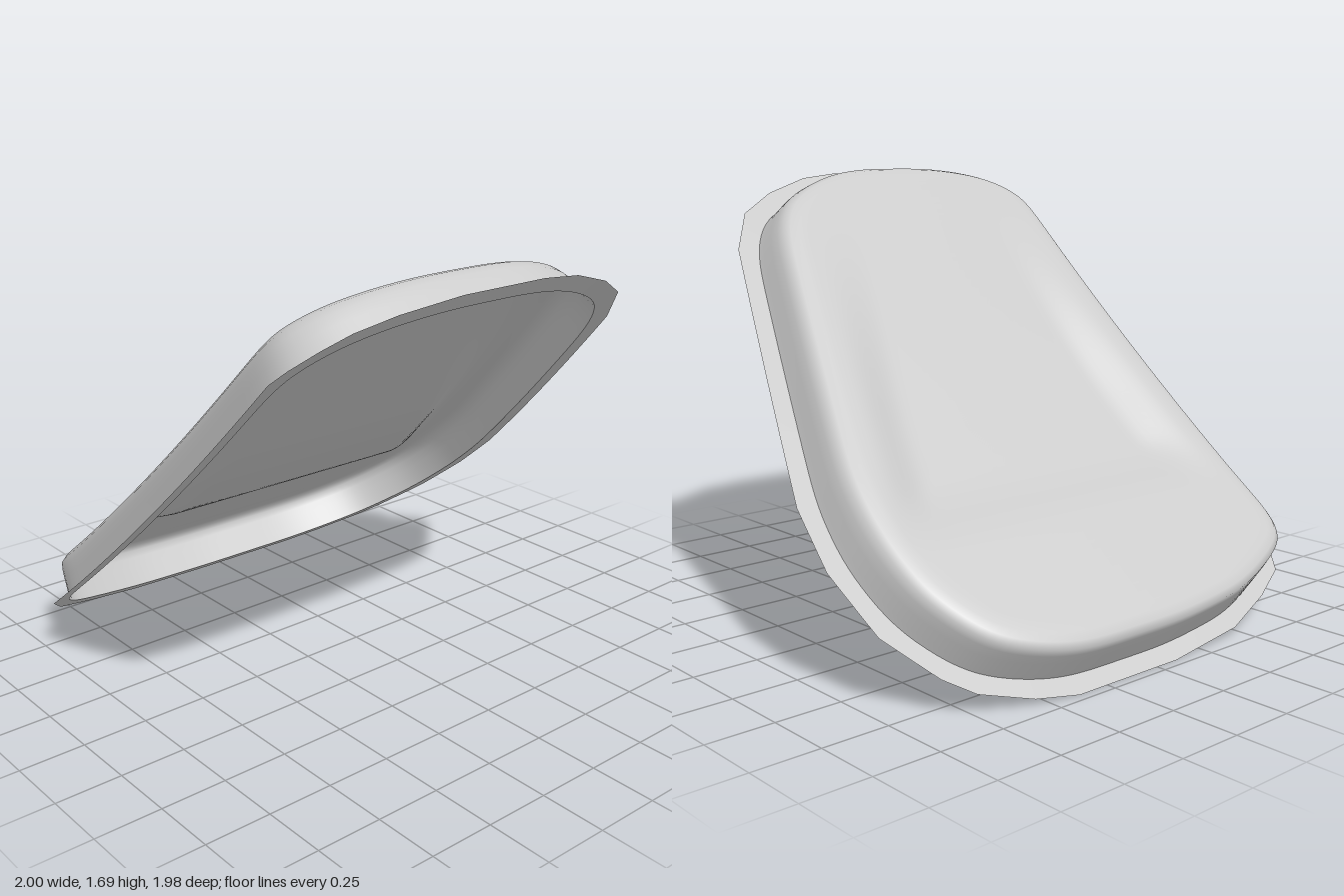
import * as THREE from 'three';

// Outline of the flange seen from above, as [x, z] corners
const OUTLINE = [
  [-0.42, -0.99], [-0.21, -0.96], [0.7, -0.6], [0.84, -0.48], [0.92, -0.31], [0.98, -0.1],
  [1, 0.08], [1, 0.43], [0.97, 0.66], [0.93, 0.8], [0.88, 0.88], [0.82, 0.95], [0.77, 0.985],
  [-0.68, 0.985], [-0.79, 0.9], [-0.86, 0.72], [-0.93, 0.47], [-0.965, 0.1], [-0.965, -0.38],
  [-0.935, -0.55], [-0.87, -0.74], [-0.8, -0.83], [-0.64, -0.95],
];
const SLOPE = 0.765; // x travelled per unit along the incline
const CENTRE = [0, 0.05];

// Gently sagging incline that carries the whole panel
const baseY = (x) => 0.755 + 0.846 * x + 0.07 * x * x;

// Point at height h, measured square to the incline
function place(x, z, h) {
  const d = 0.846 + 0.14 * x, l = Math.hypot(d, 1);
  return [x - (h * d) / l, baseY(x) + h / l, z];
}

// Cut every outline edge into short pieces
function subdivide(points, step) {
  const out = [];
  points.forEach((a, i) => {
    const b = points[(i + 1) % points.length];
    const n = Math.max(1, Math.ceil(Math.hypot((b[0] - a[0]) / SLOPE, b[1] - a[1]) / step));
    for (let k = 0; k < n; k++) {
      out.push([a[0] + ((b[0] - a[0]) * k) / n, a[1] + ((b[1] - a[1]) * k) / n]);
    }
  });
  return out;
}

// Average each entry with its neighbours around the loop
function relax(loop, times) {
  for (let t = 0; t < times; t++) {
    loop = loop.map((p, i) => {
      const a = loop.at(i - 1), b = loop[(i + 1) % loop.length];
      return [0, 1].map((k) => (a[k] + 2 * p[k] + b[k]) / 4);
    });
  }
  return loop;
}

// Outward directions, worked out in the plane of the incline
function outward(loop) {
  const dirs = loop.map((p, i) => {
    const a = loop.at(i - 1), b = loop[(i + 1) % loop.length];
    const s = (b[0] - a[0]) / SLOPE, z = b[1] - a[1], l = Math.hypot(s, z);
    return [z / l, -s / l];
  });
  return relax(dirs, 8).map(([s, z]) => [s / Math.hypot(s, z), z / Math.hypot(s, z)]);
}

// Skin a list of equal-length loops, outermost first
function skin(name, rings) {
  const n = rings[0].length, index = [];
  for (let r = 0; r < rings.length - 1; r++) {
    for (let i = 0; i < n; i++) {
      const j = (i + 1) % n;
      const a = r * n + i, b = r * n + j, c = a + n, d = b + n;
      index.push(a, c, b, b, c, d);
    }
  }
  const geometry = new THREE.BufferGeometry();
  geometry.setAttribute('position', new THREE.Float32BufferAttribute(rings.flat(2), 3));
  geometry.setIndex(index);
  geometry.computeVertexNormals();
  const material = new THREE.MeshStandardMaterial({ color: 0xcccccc, side: THREE.DoubleSide });
  const mesh = new THREE.Mesh(geometry, material);
  mesh.name = name;
  return mesh;
}

// Shallow hollow, deepest by the low end and fading out uphill
function hollow(x, z) {
  const s = THREE.MathUtils.smoothstep;
  const low = s(x, -0.54, -0.27);
  const front = 1 - s(z, 0.56, 0.8);
  const back = s(z - 0.4 * (x + 0.35), -0.78, -0.53);
  const fade = 1 - s(x, -0.1, 0.75);
  return 0.07 * low * front * back * fade;
}

export function createModel() {
  const group = new THREE.Group();
  group.name = 'shallowPan';

  const edge = subdivide(OUTLINE, 0.05);
  const smooth = relax(edge, 8);
  const dirs = outward(smooth);

  // Loop moved inwards from the edge; the lip is narrower along the front
  // and the wall bulges outwards at the low end
  const inset = (d) => smooth.map(([x, z], i) => {
    const [s, nz] = dirs[i];
    const lip = 0.075 - 0.03 * Math.max(0, nz);
    const bulge = 0.045 * Math.max(0, -s) * Math.min(1, d / 0.04);
    const w = lip + d - bulge;
    return [x - s * w * SLOPE, z - nz * w];
  });

  // Flat lip
  const foot = inset(0);
  group.add(skin('flange', [
    edge.map(([x, z]) => place(x, z, 0)),
    foot.map(([x, z]) => place(x, z, 0)),
  ]));

  // Side wall with rounded shoulder: [inset, height]
  const profile = [[0, 0], [0.008, 0.03], [0.018, 0.08], [0.028, 0.12], [0.042, 0.15],
    [0.065, 0.167], [0.1, 0.175]];
  const rings = profile.map(([d, h]) => inset(d).map(([x, z]) => place(x, z, h)));

  // Broad face closing towards the middle, with its hollow
  const shoulder = inset(0.1);
  const steps = 26;
  for (let k = 1; k <= steps; k++) {
    const t = 1 - k / steps;
    rings.push(shoulder.map(([x0, z0]) => {
      const x = CENTRE[0] + (x0 - CENTRE[0]) * t, z = CENTRE[1] + (z0 - CENTRE[1]) * t;
      return place(x, z, 0.176 - hollow(x, z));
    }));
  }
  group.add(skin('panBody', rings));
  return group;
}
